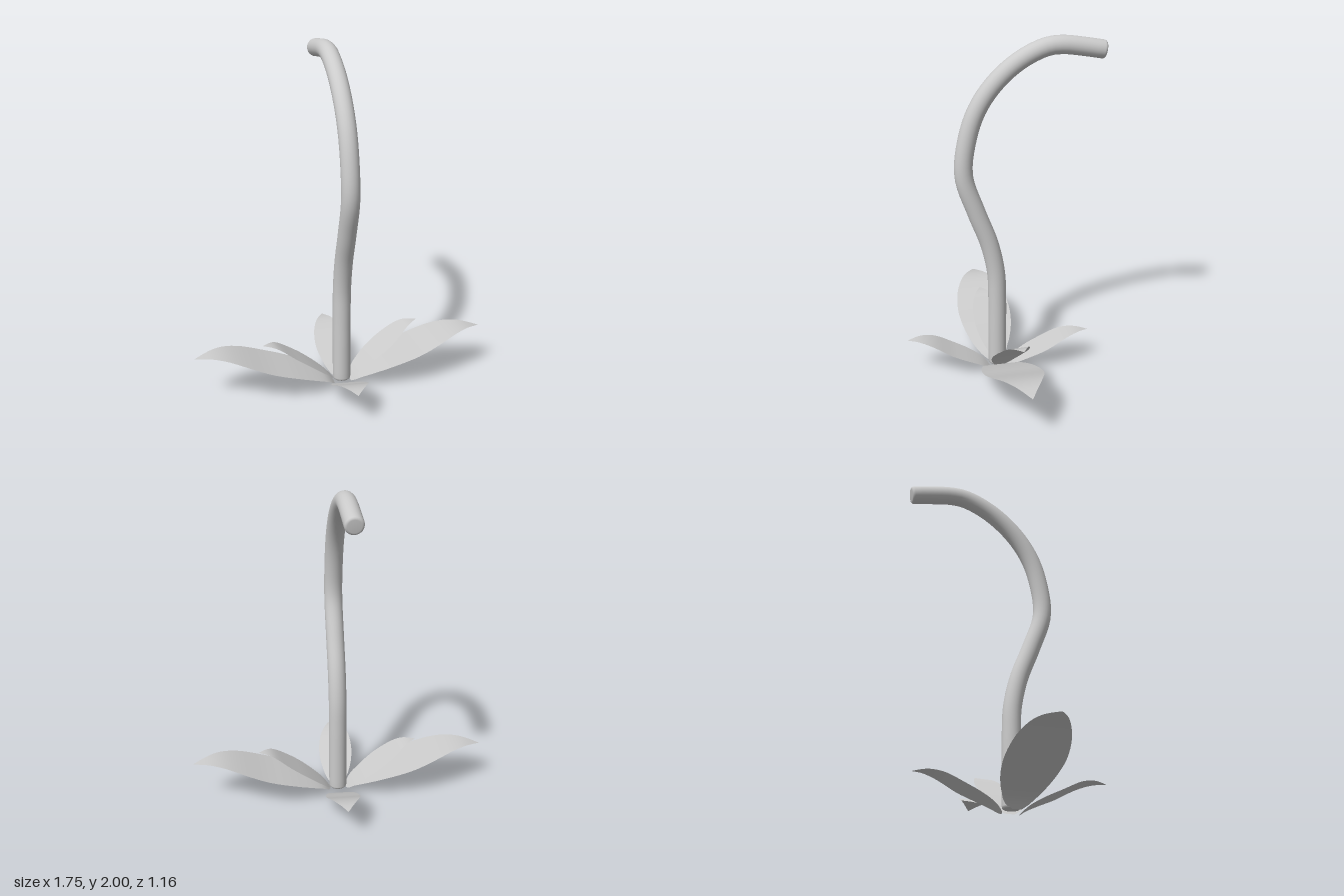
import * as THREE from 'three';
import { mergeVertices } from 'three/addons/utils/BufferGeometryUtils.js';

const material = new THREE.MeshStandardMaterial({ color: 0xcccccc, roughness: 0.8 });
const leafMaterial = new THREE.MeshStandardMaterial({ color: 0xcccccc, roughness: 0.8, side: THREE.DoubleSide });

// Weld the vertices and give the surface smooth normals
function smooth(geometry) {
  geometry.deleteAttribute('uv');
  geometry.deleteAttribute('normal');
  const welded = mergeVertices(geometry, 1e-5);
  welded.computeVertexNormals();
  return welded;
}

// Round stem with softened ends, bent along a curve in the yz plane
function makeStem() {
  const path = new THREE.CatmullRomCurve3([
    [0.03, 0.045], [0.25, 0.045], [0.45, 0.045], [0.62, 0.052], [0.8, 0.09], [1.0, 0.165],
    [1.22, 0.235], [1.42, 0.217], [1.6, 0.158], [1.75, 0.055], [1.87, -0.085],
    [1.94, -0.235], [1.948, -0.33], [1.934, -0.44], [1.911, -0.572],
  ].map(([y, z]) => new THREE.Vector3(0, y, z)));
  const length = path.getLength();
  const r = 0.053;
  const bevel = 0.016;

  const profile = [new THREE.Vector2(0, 0), new THREE.Vector2(r - bevel, 0)];
  for (let i = 1; i <= 3; i++) {
    const a = (i / 3) * Math.PI / 2;
    profile.push(new THREE.Vector2(r - bevel + bevel * Math.sin(a), bevel * (1 - Math.cos(a))));
  }
  const start = profile.map((p) => new THREE.Vector2(p.x, length - p.y)).reverse();
  for (let i = 1; i < 60; i++) profile.push(new THREE.Vector2(r, bevel + (i / 60) * (length - 2 * bevel)));
  const geometry = new THREE.LatheGeometry([...profile, ...start], 24);

  const pos = geometry.attributes.position;
  const side = new THREE.Vector3(1, 0, 0);
  for (let i = 0; i < pos.count; i++) {
    const u = THREE.MathUtils.clamp(pos.getY(i) / length, 0, 1);
    const normal = side.clone().cross(path.getTangentAt(u));
    const p = path.getPointAt(u).addScaledVector(side, pos.getX(i)).addScaledVector(normal, pos.getZ(i));
    pos.setXYZ(i, p.x, p.y, p.z);
  }
  const mesh = new THREE.Mesh(smooth(geometry), material);
  mesh.name = 'stem';
  return mesh;
}

// Relative half width of a leaf from base to tip
const outline = new THREE.SplineCurve([
  [0, 0.16], [0.04, 0.44], [0.12, 0.69], [0.28, 0.92], [0.46, 1],
  [0.64, 0.88], [0.8, 0.58], [0.92, 0.25], [1, 0.01],
].map(([x, y]) => new THREE.Vector2(x, y)));

// Thin leaf: rows level across, following a spine that rises and curls over
function makeLeaf({ name, base, tip, halfWidth, profile }) {
  const from = new THREE.Vector2(...base);
  const to = new THREE.Vector2(...tip);
  const along = to.clone().sub(from).normalize();
  const spine = new THREE.SplineCurve(profile.map(([t, y]) => new THREE.Vector2(t, y)));
  const rows = 32;
  const columns = 8;
  const geometry = new THREE.PlaneGeometry(1, 1, columns, rows);
  const pos = geometry.attributes.position;

  for (let i = 0; i < pos.count; i++) {
    const across = pos.getX(i) * 2;
    const edge = outline.getPoint(pos.getY(i) + 0.5);
    const t = THREE.MathUtils.clamp(edge.x, 0, 1);
    // Find the spine height at this distance by bisection
    let lo = 0, hi = 1;
    for (let k = 0; k < 20; k++) {
      const mid = (lo + hi) / 2;
      if (spine.getPoint(mid).x < t) lo = mid; else hi = mid;
    }
    const y = spine.getPoint(lo).y;
    const centre = from.clone().lerp(to, t);
    const w = across * halfWidth * edge.y;
    pos.setXYZ(i, centre.x - along.y * w, y, centre.y + along.x * w);
  }
  // Turn the faces so that the front is the upper side
  const index = geometry.index;
  for (let i = 0; i < index.count; i += 3) {
    const [a, b, c] = [0, 1, 2].map((k) => new THREE.Vector3().fromBufferAttribute(pos, index.getX(i + k)));
    if (b.sub(a).cross(c.sub(a)).y < 0) {
      const swap = index.getX(i + 1);
      index.setX(i + 1, index.getX(i + 2));
      index.setX(i + 2, swap);
    }
  }
  const mesh = new THREE.Mesh(smooth(geometry), leafMaterial);
  mesh.name = name;
  return mesh;
}

export function createModel() {
  const group = new THREE.Group();
  group.name = 'plant';
  group.add(makeStem());

  // Height against the fraction of the leaf's length
  const large = [[0, 0.02], [0.08, 0.075], [0.27, 0.138], [0.48, 0.195], [0.66, 0.25], [0.77, 0.276], [0.86, 0.283], [0.93, 0.277], [1, 0.265]];
  const upper = [[0, 0.035], [0.12, 0.09], [0.35, 0.175], [0.58, 0.25], [0.77, 0.31], [0.88, 0.33], [1, 0.335]];
  const lower = [[0, 0.005], [0.1, 0.045], [0.25, 0.085], [0.45, 0.13], [0.64, 0.178], [0.77, 0.2], [0.88, 0.207], [1, 0.202]];

  const leaves = [
    { name: 'largeLeafLeft', base: [0.05, 0.05], tip: [0.87, 0.025], halfWidth: 0.163, profile: large },
    { name: 'largeLeafRight', base: [-0.05, 0.06], tip: [-0.875, 0.04], halfWidth: 0.163, profile: large },
    { name: 'smallLeafLeft', base: [0.05, 0.035], tip: [0.48, -0.013], halfWidth: 0.1, profile: upper },
    {
      name: 'smallLeafRight', base: [-0.05, 0.025], tip: [-0.477, 0.065], halfWidth: 0.1,
      profile: upper.map(([t, y]) => [t, y * 0.93]),
    },
    { name: 'frontLeaf', base: [0, 0.09], tip: [-0.045, 0.578], halfWidth: 0.102, profile: lower },
    { name: 'backLeaf', base: [0, -0.01], tip: [0.015, -0.505], halfWidth: 0.1, profile: lower },
  ];
  for (const leaf of leaves) group.add(makeLeaf(leaf));
  return group;
}
